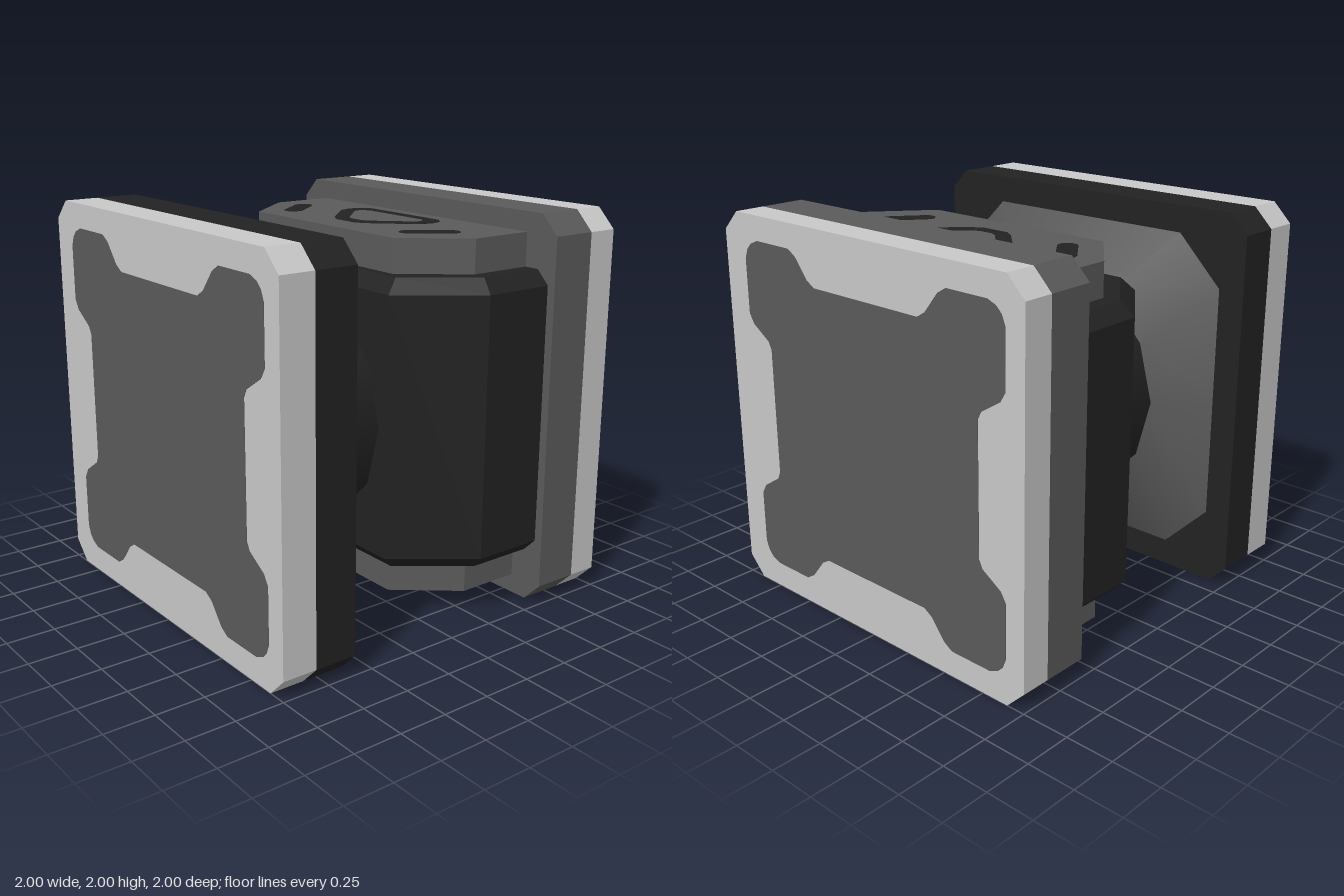
import * as THREE from 'three';
import { toCreasedNormals } from 'three/addons/utils/BufferGeometryUtils.js';

const paint = (name, color) => Object.assign(new THREE.MeshStandardMaterial({ color }), { name });

const toShape = (points) => new THREE.Shape(points.map(([x, y]) => new THREE.Vector2(x, y)));

// Mirrors a right-hand half outline across x = 0 to close it
const mirrorX = (half) => [...half, ...half.map(([x, y]) => [-x, y]).reverse()];

const extrude = (shape, depth, extra = {}) =>
  new THREE.ExtrudeGeometry(shape, { depth, bevelEnabled: false, ...extra });

// Extrudes a plan outline (x, z) downwards from a given top height
const extrudePlan = (shape, top, height, extra) =>
  extrude(shape, height, extra).rotateX(Math.PI / 2).translate(0, top, 0);

// Square with chamfered corners, centred on the origin
function chamferedSquare(h, c) {
  return toShape(mirrorX([[h - c, -h], [h, c - h], [h, h - c], [h - c, h]]));
}

// Square panel with a notch in the middle of each side
function notchedPanel() {
  const quarter = [
    [0.71, 0.33], [0.73, 0.37], [0.84, 0.44], [0.87, 0.49], [0.87, 0.77], [0.85, 0.82],
    [0.82, 0.85], [0.77, 0.87], [0.53, 0.87], [0.48, 0.84], [0.4, 0.74], [0.35, 0.71],
  ];
  const right = [...quarter.map(([x, y]) => [x, -y]).reverse(), ...quarter];
  return toShape(mirrorX(right));
}

// Slanted slot with round ends
function slot(x, z, angle, halfLength, r) {
  const points = [];
  for (let i = 0; i < 16; i++) {
    const end = i < 8 ? 1 : -1;
    const a = -Math.PI / 2 + ((i % 8) / 7) * Math.PI + (end < 0 ? Math.PI : 0);
    const u = end * halfLength + r * Math.cos(a), v = r * Math.sin(a);
    points.push([x + u * Math.cos(angle) - v * Math.sin(angle), z + u * Math.sin(angle) + v * Math.cos(angle)]);
  }
  return toShape(points);
}

// Rounded triangular ring
function triangleRing() {
  const ring = toShape(mirrorX([[0.08, -0.125], [0.14, -0.165], [0.32, -0.345], [0.34, -0.42], [0.32, -0.485], [0.27, -0.52]]));
  const hole = mirrorX([[0.04, -0.195], [0.08, -0.215], [0.245, -0.38], [0.255, -0.42], [0.215, -0.457]]);
  ring.holes.push(new THREE.Path(hole.map(([x, y]) => new THREE.Vector2(x, y))));
  return ring;
}

// Funnel from a chamfered square to a twelve-sided neck
function funnelGeometry(zWide, zNarrow, radius) {
  const w = 0.86, c = 0.61;
  const wide = [
    [w, 0], [w, c], [c, w], [0, w], [-c, w], [-w, c],
    [-w, 0], [-w, -c], [-c, -w], [0, -w], [c, -w], [w, -c],
  ];
  const positions = [], index = [];
  wide.forEach(([x, y], i) => {
    const a = (i / 12) * Math.PI * 2;
    positions.push(x, y, zWide, radius * Math.cos(a), radius * Math.sin(a), zNarrow);
    const p = 2 * i, q = 2 * ((i + 1) % 12);
    index.push(p, p + 1, q, q, p + 1, q + 1);
  });
  const g = new THREE.BufferGeometry();
  g.setAttribute('position', new THREE.Float32BufferAttribute(positions, 3));
  g.setIndex(index);
  return toCreasedNormals(g, 0.5);
}

export function createModel() {
  const light = paint('light grey', 0xc8c8c8);
  const grey = paint('mid grey', 0x5a5a5a);
  const black = paint('charcoal', 0x222222);
  const funnelGrey = grey.clone();
  funnelGrey.side = THREE.DoubleSide;
  const model = new THREE.Group();
  model.name = 'device';
  const add = (name, geometry, material, parent = model) => {
    const mesh = new THREE.Mesh(geometry, material);
    mesh.name = name;
    parent.add(mesh);
    return mesh;
  };

  // Front and back end plates, each with a base slab, light cover and inset panel
  [['front', 0, black, 0.22], ['back', Math.PI, grey, 0.24]].forEach(([side, turn, base, depth]) => {
    const plate = new THREE.Group();
    plate.name = side + 'Plate';
    plate.position.y = 1;
    plate.rotation.y = turn;
    const square = chamferedSquare(1, 0.1);
    add(side + 'Base', extrude(square, depth).translate(0, 0, 0.6), base, plate);
    add(side + 'Cover', extrude(square, 0.4 - depth).translate(0, 0, 0.6 + depth), light, plate);
    add(side + 'Panel', extrude(notchedPanel(), 0.004).translate(0.023, 0.005, 0.998), grey, plate);
    model.add(plate);
  });

  // Funnel and neck joining the front plate to the body
  const funnel = add('funnel', funnelGeometry(0.6, 0.4, 0.615), funnelGrey);
  funnel.position.y = 1;
  // Rotate so that neck corners line up with the funnel
  const neckGeometry = new THREE.CylinderGeometry(0.61, 0.61, 0.3, 12).rotateX(Math.PI / 2);
  const neck = add('neck', neckGeometry, black);
  neck.position.set(0, 1, 0.27);

  // Body with bevelled top and bottom rims
  const bodyPlan = toShape(mirrorX([[0.67, 0.155], [0.955, -0.22], [0.955, -0.7]]).reverse());
  add('body', extrudePlan(bodyPlan, 1.66, 1.32, {
    bevelEnabled: true, bevelSegments: 1, bevelSize: 0.07, bevelThickness: 0.07, bevelOffset: -0.07,
  }), black);

  // Raised pads above and below the body, with painted markings
  const padPlan = toShape(mirrorX([[0.56, 0.04], [0.805, -0.26], [0.805, -0.65]]).reverse());
  const marks = [
    ['triangleMark', triangleRing()],
    ['leftSlot', slot(0.54, -0.22, -0.907, 0.1, 0.05)],
    ['rightSlot', slot(-0.54, -0.22, Math.PI + 0.907, 0.1, 0.05)],
  ];
  [['upper', 1.9, 1.902], ['lower', 0.3, 0.102]].forEach(([side, top, markTop]) => {
    add(side + 'Pad', extrudePlan(padPlan, top, 0.2), grey);
    marks.forEach(([name, shape]) => {
      add(side + name[0].toUpperCase() + name.slice(1), extrudePlan(shape, markTop, 0.004).translate(-0.015, 0, 0), black);
    });
  });

  return model;
}
